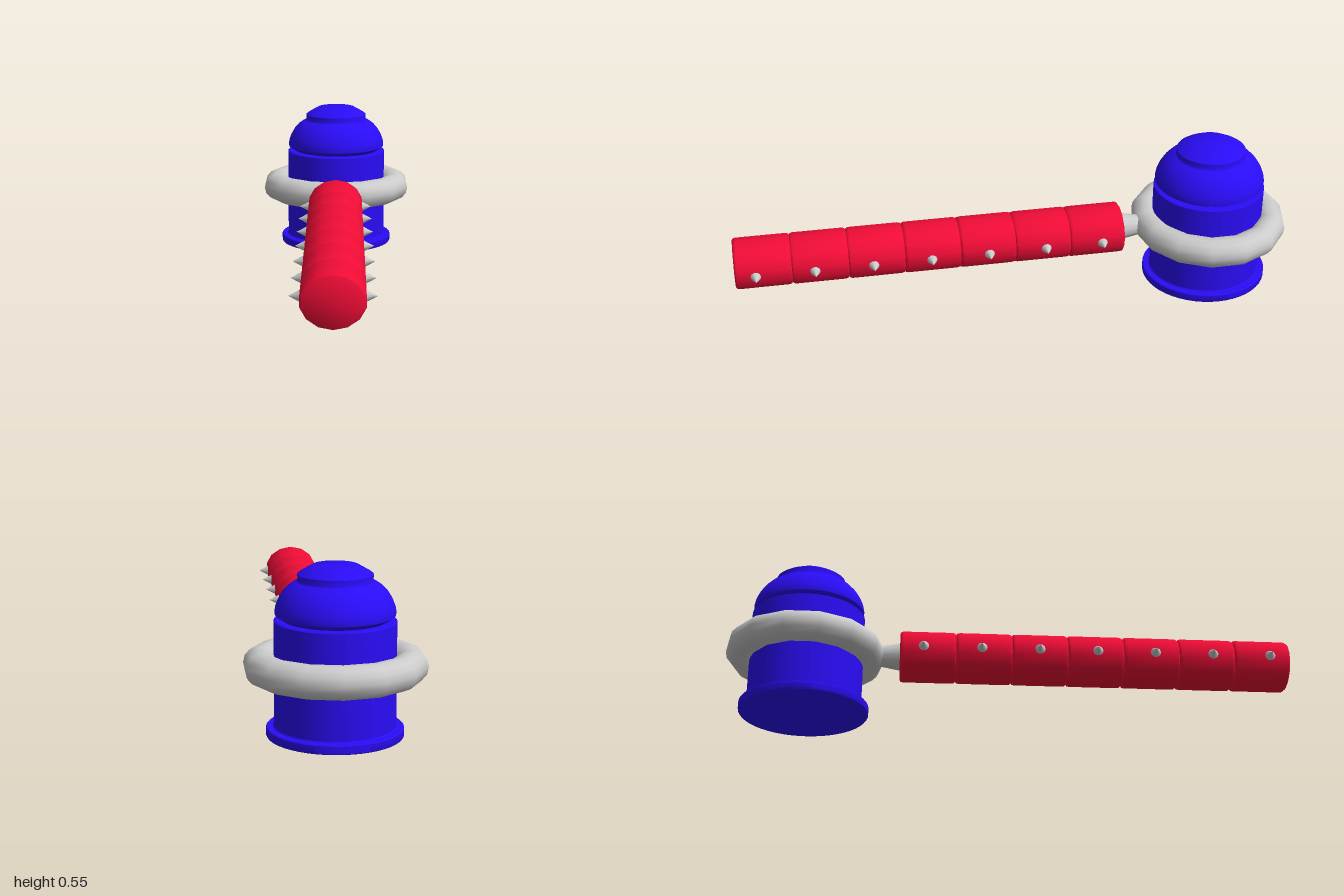
import * as THREE from 'three';
import { toCreasedNormals } from 'three/addons/utils/BufferGeometryUtils.js';

const blue = new THREE.MeshStandardMaterial({ color: 0x2a0cf5 });
const red = new THREE.MeshStandardMaterial({ color: 0xf00c36 });
const grey = new THREE.MeshStandardMaterial({ color: 0xcccccc });

const AXIS_Y = 0.227; // height of the handle and ring
const BODY_Z = -0.715; // centre of the body

function lathe(points, sides) {
  return new THREE.LatheGeometry(points.map(([r, y]) => new THREE.Vector2(r, y)), sides);
}

export function createModel() {
  const model = new THREE.Group();
  const add = (name, geometry, material, x = 0, y = 0, z = 0) => {
    const mesh = new THREE.Mesh(geometry, material);
    mesh.name = name;
    mesh.position.set(x, y, z);
    model.add(mesh);
    return mesh;
  };

  // Body: foot flange, barrel, recessed neck, dome and cap
  const body = lathe([
    [0, 0], [0.216, 0], [0.218, 0.003], [0.218, 0.027], [0.215, 0.03], [0.196, 0.03], [0.193, 0.034],
    [0.193, 0.369], [0.19, 0.372], [0.165, 0.373], [0.189, 0.389], [0.19, 0.398], [0.187, 0.415],
    [0.179, 0.436], [0.166, 0.458], [0.15, 0.476], [0.133, 0.488], [0.121, 0.494], [0.118, 0.501],
    [0.119, 0.516], [0.108, 0.524], [0.073, 0.544], [0.07, 0.545], [0, 0.545],
  ], 48);
  body.scale(1, 1, 1.035);
  add('body', toCreasedNormals(body, 0.6), blue, 0, 0, BODY_Z);

  // Ring around the barrel
  const ring = new THREE.TorusGeometry(0.229, 0.053, 14, 14);
  ring.rotateZ(Math.PI / 2).rotateX(Math.PI / 2).scale(1.04, 1, 1);
  add('ring', ring, grey, 0, AXIS_Y, -0.718);

  // Neck joining ring and handle
  const neck = new THREE.CylinderGeometry(0.05, 0.034, 0.09, 14);
  neck.rotateX(Math.PI / 2);
  add('neck', neck, grey, 0, AXIS_Y, -0.425);

  // Handle: seven sections with rounded rims
  const count = 7, start = -0.385, step = 1.385 / count, r = 0.088;
  const profile = [[0, start]];
  for (let i = 0; i < count; i++) {
    const a = start + i * step, b = a + step;
    profile.push([r - 0.007, a], [r - 0.002, a + 0.004], [r, a + 0.012],
      [r, b - 0.012], [r - 0.002, b - 0.004], [r - 0.007, b]);
  }
  profile.push([0, 1]);
  const handle = lathe(profile, 14);
  handle.rotateX(Math.PI / 2).scale(1.165, 1, 1);
  add('handle', toCreasedNormals(handle, 0.75), red, 0, AXIS_Y, 0);

  // Spikes along both sides of the handle
  for (const side of [-1, 1]) {
    for (let i = 0; i < count; i++) {
      const spike = new THREE.ConeGeometry(0.021, 0.04, 10);
      spike.rotateZ(-side * Math.PI / 2);
      add(side > 0 ? 'leftSpike' : 'rightSpike', spike, grey, side * 0.115, AXIS_Y, -0.302 + i * 0.205);
    }
  }
  return model;
}
